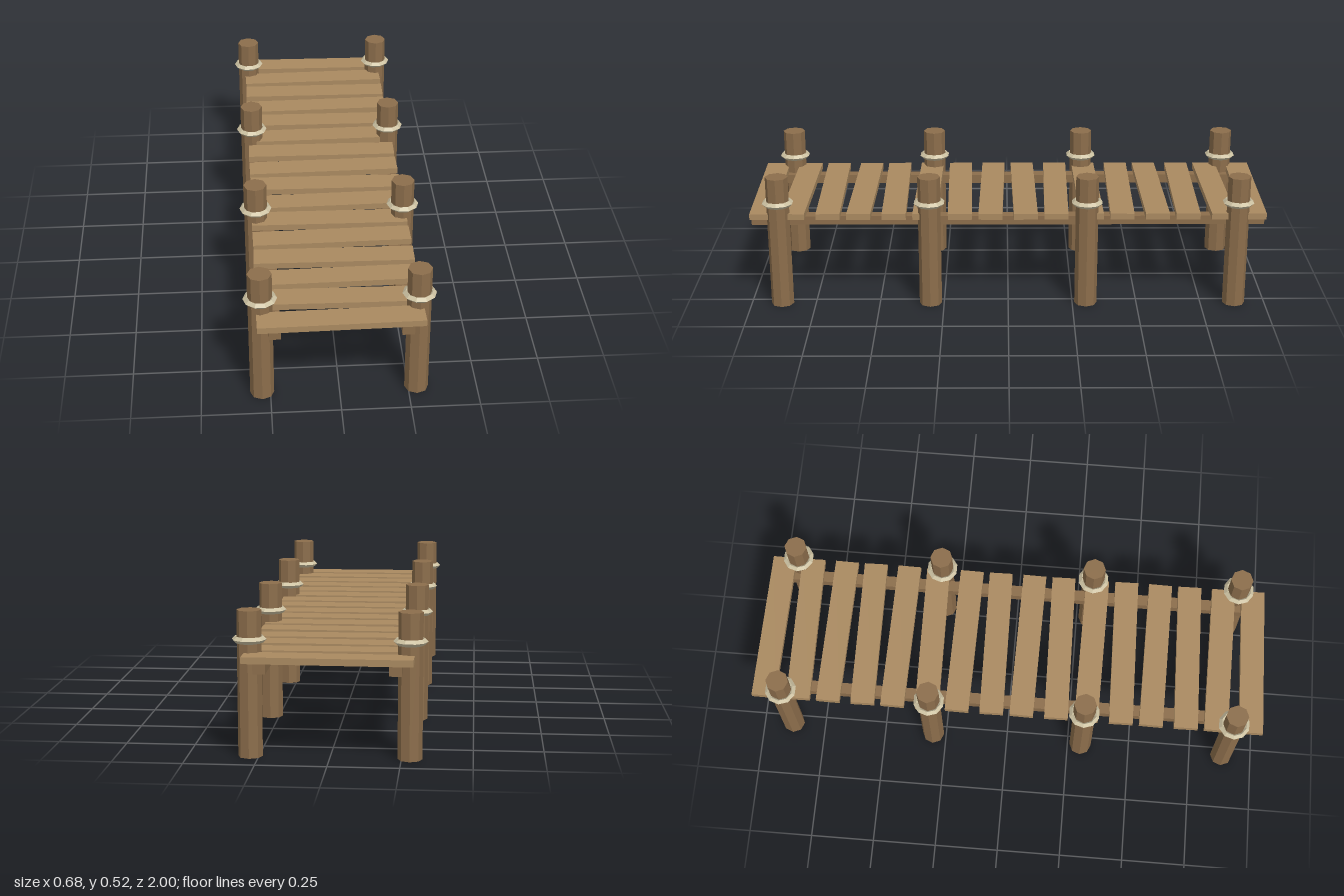
import * as THREE from 'three';

export function createModel() {
  const model = new THREE.Group();
  const mat = (color) => new THREE.MeshStandardMaterial({ color, flatShading: true });
  const plankWood = mat(0xa98960);
  const postWood = mat(0x8b6d4b);
  const ropeFibre = mat(0xcdc2a2);

  const add = (name, geometry, material, x, y, z) => {
    const mesh = new THREE.Mesh(geometry, material);
    mesh.name = name;
    mesh.position.set(x, y, z);
    model.add(mesh);
    return mesh;
  };

  // Deck planks, each turned a little the opposite way to the last
  const plankCount = 16;
  const spacing = 0.1263;
  const plankGeo = new THREE.BoxGeometry(0.59, 0.024, 0.092);
  for (let i = 0; i < plankCount; i++) {
    const z = (i - (plankCount - 1) / 2) * spacing;
    const plank = add('plank', plankGeo, plankWood, 0, 0.364, z);
    plank.rotation.y = i % 2 ? 0.016 : -0.016;
  }

  const beamGeo = new THREE.BoxGeometry(0.044, 0.035, 1.975);
  const postGeo = new THREE.CylinderGeometry(0.0435, 0.0435, 0.522, 8);
  const ropeGeo = new THREE.TorusGeometry(0.049, 0.0118, 4, 10).rotateX(Math.PI / 2);

  for (const side of [-1, 1]) {
    // Long beam under the planks
    add('beam', beamGeo, postWood, side * 0.233, 0.3345, 0);
    // Posts with a rope ring above the deck
    for (const z of [-0.88, -0.302, 0.302, 0.88]) {
      add('post', postGeo, postWood, side * 0.28, 0.261, z);
      add('ropeRing', ropeGeo, ropeFibre, side * 0.28, 0.4185, z);
    }
  }
  return model;
}
